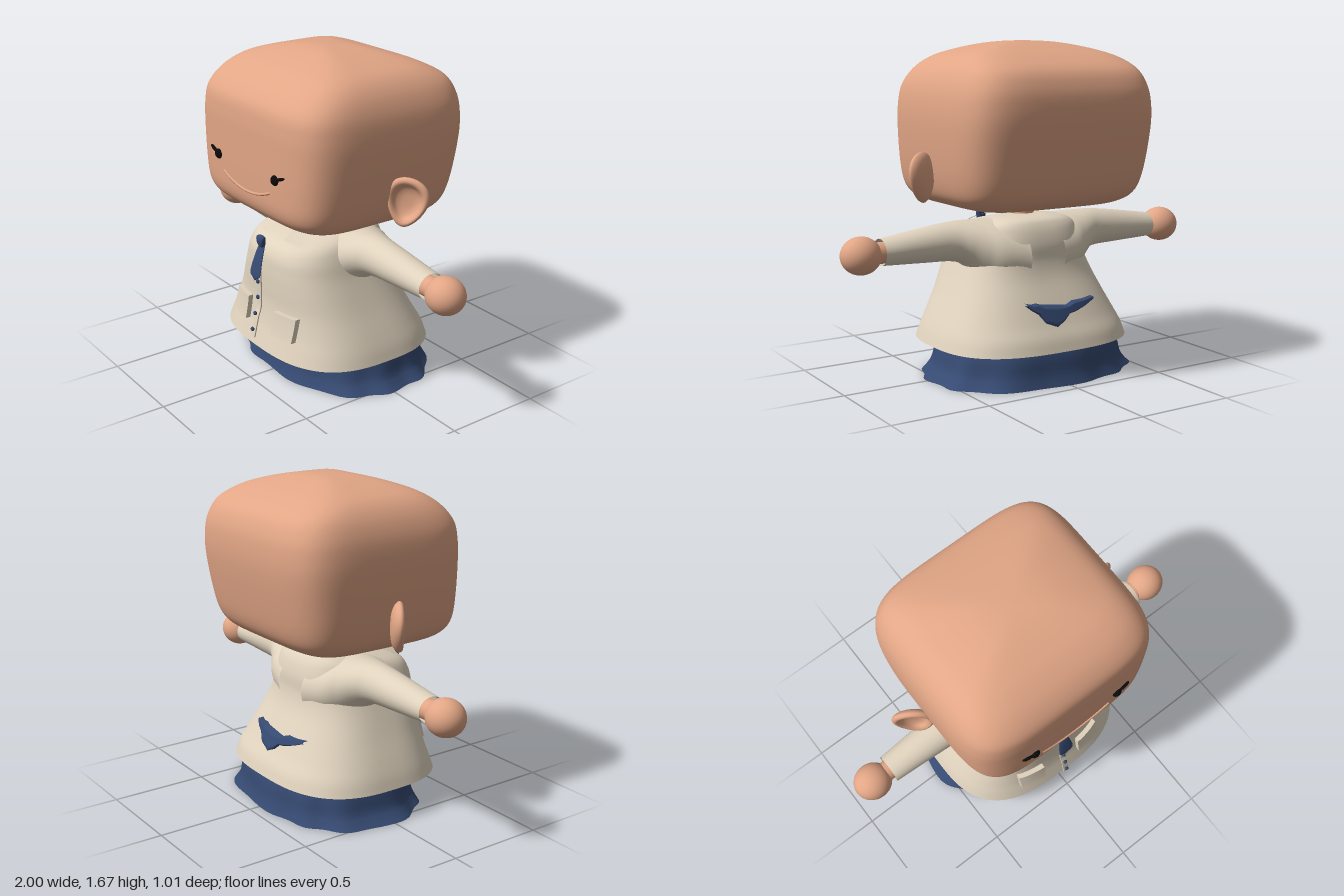
import * as THREE from 'three';

const mat = (name, color, side = THREE.FrontSide) => {
  const m = new THREE.MeshStandardMaterial({ color, side });
  m.name = name;
  return m;
};

// Smooth body described by rows of [height, half width, front z, back z]
function profile(rows, n) {
  const curve = k => new THREE.CatmullRomCurve3(
    rows.map(r => new THREE.Vector3(r[1], r[0], r[k])), false, 'catmullrom', 0.5);
  const front = curve(2), back = curve(3);
  const at = t => {
    const f = front.getPoint(t), b = back.getPoint(t);
    return { y: f.y, hx: Math.max(f.x, 0), mid: (f.z + b.z) / 2, hz: (f.z - b.z) / 2 };
  };
  // z of the surface at x, y; sign +1 is the front, -1 the back
  const zAt = (x, y, sign = 1) => {
    let lo = 0, hi = 1;
    for (let i = 0; i < 30; i++) {
      const m = (lo + hi) / 2;
      if (at(m).y < y) lo = m; else hi = m;
    }
    const s = at(lo), u = Math.min(1, Math.abs(x) / s.hx);
    return s.mid + sign * s.hz * Math.pow(1 - Math.pow(u, n), 1 / n);
  };
  return { at, zAt, n };
}

// Superellipse rings stacked along the profile
function loft(p, steps, seg, wave = () => 1) {
  const pos = [], idx = [];
  const pw = c => Math.sign(c) * Math.pow(Math.abs(c), 2 / p.n);
  for (let i = 0; i <= steps; i++) {
    const s = p.at(i / steps);
    for (let j = 0; j < seg; j++) {
      const a = (j / seg) * Math.PI * 2, w = wave(a, s.y);
      pos.push(pw(Math.cos(a)) * s.hx * w, s.y, s.mid + pw(Math.sin(a)) * s.hz * w);
      if (i === steps) continue;
      const A = i * seg + j, B = i * seg + (j + 1) % seg, C = A + seg, D = B + seg;
      idx.push(A, C, B, B, C, D);
    }
  }
  return build(pos, idx);
}

function build(pos, idx) {
  const g = new THREE.BufferGeometry();
  g.setAttribute('position', new THREE.Float32BufferAttribute(pos, 3));
  g.setIndex(idx);
  g.computeVertexNormals();
  return g;
}

// Open sheet from a rule (u, v) -> [x, y, z]
function sheet(nu, nv, fn) {
  const pos = [], idx = [];
  for (let i = 0; i <= nu; i++) for (let j = 0; j <= nv; j++) {
    pos.push(...fn(i / nu, j / nv));
    if (i === nu || j === nv) continue;
    const a = i * (nv + 1) + j, b = a + nv + 1;
    idx.push(a, b, a + 1, a + 1, b, b + 1);
  }
  return build(pos, idx);
}

// Piecewise linear lookup of table rows at 0..1
function along(table, t) {
  const f = t * (table.length - 1), i = Math.min(Math.floor(f), table.length - 2);
  return table[i].map((v, k) => v + (table[i + 1][k] - v) * (f - i));
}

function mirror(geo) {
  const g = geo.clone().scale(-1, 1, 1), ix = g.index;
  for (let i = 0; i < ix.count; i += 3) {
    const t = ix.getX(i);
    ix.setX(i, ix.getX(i + 1));
    ix.setX(i + 1, t);
  }
  return g;
}

export function createModel() {
  const model = new THREE.Group();
  const skin = mat('skin', 0xe2a686);
  const cream = mat('creamCloth', 0xe0d3be, THREE.DoubleSide);
  const navy = mat('navyCloth', 0x364a72, THREE.DoubleSide);
  const black = mat('black', 0x0b0b0b);
  const add = (name, geo, m) => {
    const mesh = new THREE.Mesh(geo, m);
    mesh.name = name;
    model.add(mesh);
  };
  const pair = (name, geo, m) => {
    add(name + 'Left', geo, m);
    add(name + 'Right', mirror(geo), m);
  };
  const ball = (x, y, z, rx, ry, rz, tilt = 0) =>
    new THREE.SphereGeometry(1, 32, 20).scale(rx, ry, rz).rotateZ(tilt).translate(x, y, z);

  // Head: a soft, domed block
  const head = profile([
    [0.836, 0, 0, 0], [0.842, 0.18, 0.2, -0.19], [0.855, 0.36, 0.33, -0.31],
    [0.875, 0.44, 0.4, -0.37], [0.91, 0.487, 0.455, -0.415], [0.97, 0.514, 0.484, -0.447],
    [1.08, 0.533, 0.49, -0.473], [1.25, 0.545, 0.49, -0.5], [1.36, 0.541, 0.488, -0.504],
    [1.45, 0.523, 0.472, -0.49], [1.53, 0.482, 0.408, -0.445], [1.588, 0.418, 0.32, -0.345],
    [1.625, 0.32, 0.23, -0.245], [1.652, 0.2, 0.14, -0.15], [1.664, 0.1, 0.07, -0.08],
    [1.668, 0, 0, 0]], 5);
  add('head', loft(head, 90, 120), skin);
  add('neck', new THREE.CylinderGeometry(0.06, 0.056, 0.1, 24).translate(0, 0.81, 0), skin);

  // Face
  pair('eye', ball(0.248, 1.135, head.zAt(0.248, 1.135) + 0.002, 0.025, 0.025, 0.018), black);
  pair('eyelash', ball(0.288, 1.15, head.zAt(0.288, 1.15) + 0.002, 0.036, 0.008, 0.012, 0.35), black);
  const smile = [];
  for (let i = -8; i <= 8; i++) {
    const x = i * 0.0256, y = 1.013 + 0.047 * (i / 8) ** 2;
    smile.push(new THREE.Vector3(x, y, head.zAt(x, y) + 0.001));
  }
  add('smile', new THREE.TubeGeometry(new THREE.CatmullRomCurve3(smile), 40, 0.007, 8), skin);

  // Ears: cupped discs, narrower at the lobe, turned outward
  const rim = new THREE.SplineCurve([[0, -0.034], [0.06, -0.03], [0.1, -0.016], [0.12, 0.004],
    [0.117, 0.02], [0.103, 0.026], [0.087, 0.018], [0.07, 0], [0.04, -0.01], [0, -0.012],
  ].map(p => new THREE.Vector2(...p)));
  const ear = new THREE.LatheGeometry(rim.getPoints(40).map(p => p.set(Math.max(p.x, 0), p.y)), 40);
  ear.rotateX(Math.PI / 2);
  const ep = ear.attributes.position;
  for (let i = 0; i < ep.count; i++) {
    ep.setX(i, ep.getX(i) * 0.82 * (1 + 2.4 * ep.getY(i)));
    ep.setY(i, ep.getY(i) * 1.03);
  }
  ear.computeVertexNormals();
  ear.rotateZ(-0.2).rotateY(0.6).translate(0.58, 1.015, -0.03);
  pair('ear', ear, skin);

  // Jacket: flared shell with sleeves that widen into the shoulders
  const jacket = profile([
    [0.166, 0.522, 0.455, -0.422], [0.23, 0.5, 0.435, -0.4], [0.3, 0.468, 0.415, -0.36],
    [0.4, 0.418, 0.4, -0.31], [0.5, 0.372, 0.398, -0.262], [0.58, 0.338, 0.395, -0.24],
    [0.66, 0.312, 0.383, -0.235], [0.72, 0.285, 0.335, -0.22], [0.76, 0.25, 0.21, -0.2],
    [0.785, 0.19, 0.1, -0.175], [0.797, 0.1, 0.02, -0.13], [0.8, 0, -0.05, -0.05]], 2.8);
  add('jacket', loft(jacket, 60, 80), cream);
  const sleeve = loft(profile([
    [0.1, 0.25, 0.785, 0.42], [0.22, 0.215, 0.785, 0.46], [0.29, 0.172, 0.786, 0.51],
    [0.36, 0.13, 0.787, 0.568], [0.43, 0.103, 0.785, 0.59], [0.56, 0.09, 0.77, 0.596],
    [0.8, 0.075, 0.735, 0.605]], 2), 48, 40);
  sleeve.applyMatrix4(new THREE.Matrix4().makeBasis(
    new THREE.Vector3(0, 0, 1), new THREE.Vector3(1, 0, 0), new THREE.Vector3(0, 1, 0)));
  pair('sleeve', sleeve, cream);

  // Wrists and round hands
  pair('wrist', new THREE.CylinderGeometry(0.052, 0.052, 0.14, 24)
    .rotateZ(Math.PI / 2).translate(0.78, 0.667, 0), skin);
  pair('hand', ball(0.9, 0.663, 0, 0.1, 0.092, 0.094), skin);

  // Collar flaps: bilinear sheets lying on the chest
  const collar = [[0.02, 0.797, 0.14], [0.14, 0.793, 0.12], [0.08, 0.743, 0.335], [0.19, 0.72, 0.295]];
  pair('collar', sheet(8, 8, (u, v) => [0, 1, 2].map(k => {
    const top = collar[0][k] * (1 - u) + collar[1][k] * u;
    const tip = collar[2][k] * (1 - u) + collar[3][k] * u;
    return top * (1 - v) + tip * v + (k === 1 ? 0.03 * v * (1 - v) : 0);
  })), cream);

  // Pockets that follow the jacket front
  const pocket = new THREE.BoxGeometry(0.145, 0.12, 0.045, 8, 8, 1).translate(0.187, 0.332, 0.004);
  const pp = pocket.attributes.position;
  for (let i = 0; i < pp.count; i++) pp.setZ(i, pp.getZ(i) + jacket.zAt(pp.getX(i), pp.getY(i)));
  pocket.computeVertexNormals();
  pair('pocket', pocket, cream);

  // Button strip, buttons and tie
  add('buttonStrip', loft(profile([
    [0.225, 0.016, 0.479, 0.471], [0.33, 0.016, 0.454, 0.446],
    [0.41, 0.016, 0.434, 0.426], [0.64, 0.016, 0.436, 0.428]], 8), 30, 24), cream);
  [[0.6, 0.44], [0.52, 0.44], [0.435, 0.442], [0.35, 0.46], [0.267, 0.478]].forEach(([y, z], i) =>
    add('button' + (i + 1), ball(0, y, z, 0.011, 0.011, 0.009), navy));
  add('tieBlade', loft(profile([
    [0.53, 0, 0.459, 0.453], [0.545, 0.022, 0.46, 0.45], [0.568, 0.043, 0.459, 0.447],
    [0.65, 0.034, 0.438, 0.424], [0.715, 0.022, 0.414, 0.4]], 2.4), 30, 24), navy);
  add('tieKnot', loft(profile([
    [0.7, 0, 0.412, 0.412], [0.705, 0.018, 0.424, 0.4], [0.735, 0.027, 0.432, 0.4],
    [0.757, 0.025, 0.428, 0.402], [0.762, 0, 0.415, 0.415]], 3), 20, 24), navy);

  // Navy trousers flaring into a rippled hem
  const skirt = profile([
    [0, 0.55, 0.36, -0.438], [0.03, 0.518, 0.35, -0.427], [0.07, 0.492, 0.34, -0.417],
    [0.17, 0.465, 0.325, -0.4], [0.3, 0.4, 0.3, -0.33], [0.4, 0.36, 0.28, -0.28]], 2.35);
  add('trousers', loft(skirt, 24, 120,
    (a, y) => 1 + 0.02 * Math.max(0, 1 - y / 0.28) * Math.sin(11 * a + Math.sin(3 * a))), navy);
  add('torsoBase', new THREE.CircleGeometry(1, 40).rotateX(Math.PI / 2)
    .scale(0.34, 1, 0.26).translate(0, 0.39, 0), skin);

  // Ragged navy wedge standing out of the back, columns of [x, top, bottom]
  const patch = [[0.18, 0.402, 0.392], [0.15, 0.395, 0.365], [0.12, 0.398, 0.345], [0.09, 0.39, 0.3],
    [0.03, 0.385, 0.275], [-0.02, 0.378, 0.3], [-0.05, 0.375, 0.33], [-0.09, 0.39, 0.335],
    [-0.15, 0.39, 0.355], [-0.22, 0.395, 0.383]];
  add('backPatch', sheet(36, 8, (u, v) => {
    const [x, top, bottom] = along(patch, u);
    const y = top + (bottom - top) * v;
    const out = v === 0 || v === 1 ? -0.005 : 0.006 + 0.18 * (y - 0.275);
    return [x, y, jacket.zAt(x, y, -1) - out];
  }), navy);

  return model;
}
